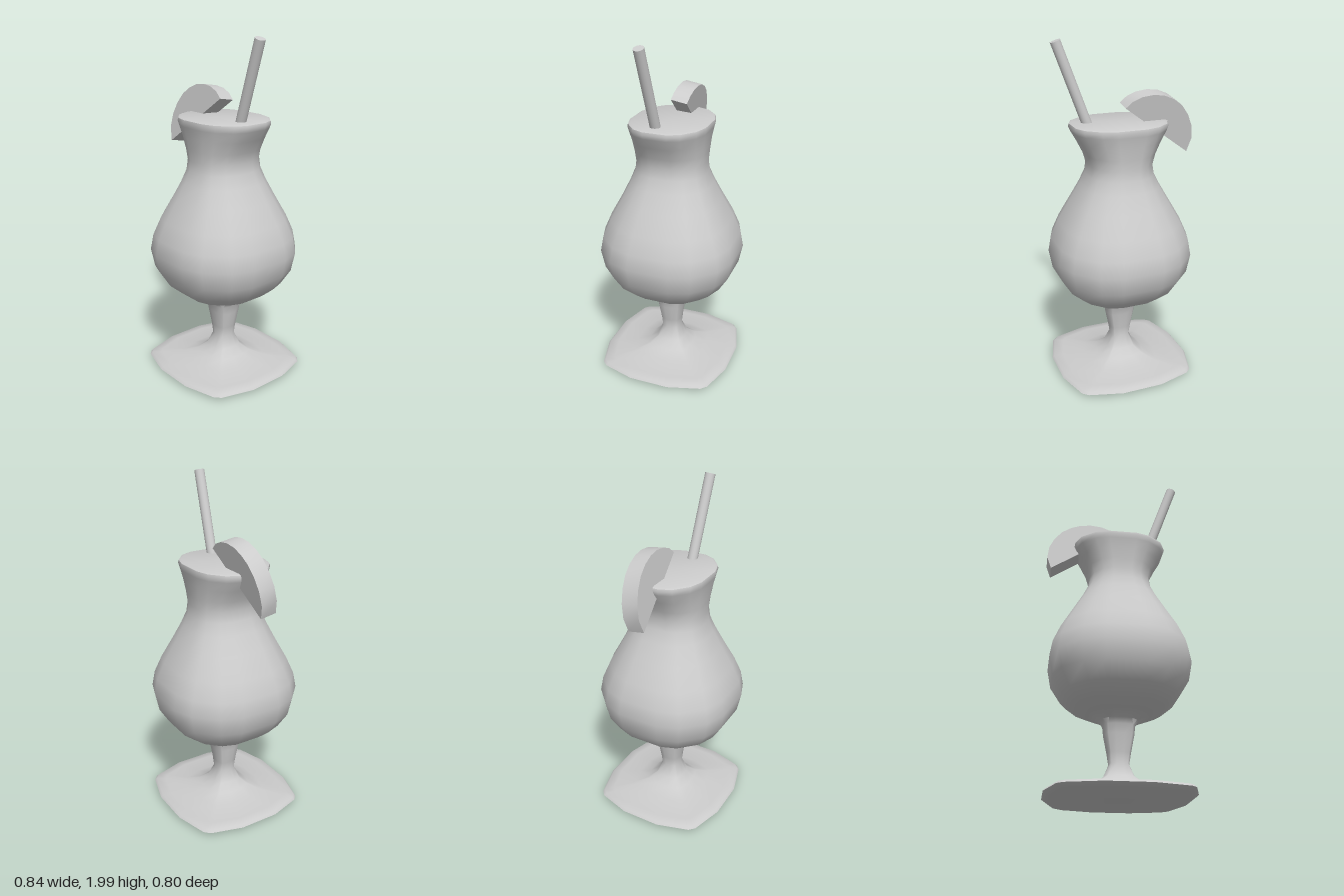
import * as THREE from 'three';
import { toCreasedNormals } from 'three/addons/utils/BufferGeometryUtils.js';

const material = new THREE.MeshStandardMaterial({ color: 0xcccccc });
const CENTRE_X = 0.0125;

// One rounded-square ring of 16 points; near and far place the two corner points
function ring(y, hx, hz, near, far) {
  const quarter = [[1, 0.3], [far, near], [near, far], [0.3, 1]];
  const points = [];
  for (let q = 0; q < 4; q++) {
    for (const [a, b] of quarter) {
      const [x, z] = [[a, b], [-b, a], [-a, -b], [b, -a]][q];
      points.push([CENTRE_X + x * hx, y, z * hz]);
    }
  }
  return points;
}

// Skin between rings from bottom to top, closed at both ends
function loft(rings) {
  const n = rings[0].length;
  const positions = rings.flat(2);
  const index = [];
  for (let j = 0; j < rings.length - 1; j++) {
    for (let i = 0; i < n; i++) {
      const a = j * n + i, c = j * n + (i + 1) % n;
      index.push(a, a + n, c, c, a + n, c + n);
    }
  }
  const last = (rings.length - 1) * n;
  const bottom = rings.length * n;
  positions.push(CENTRE_X, rings[0][0][1], 0, CENTRE_X, rings[rings.length - 1][0][1], 0);
  for (let i = 0; i < n; i++) {
    const k = (i + 1) % n;
    index.push(bottom, i, k, bottom + 1, last + k, last + i);
  }
  const geometry = new THREE.BufferGeometry();
  geometry.setAttribute('position', new THREE.Float32BufferAttribute(positions, 3));
  geometry.setIndex(index);
  return toCreasedNormals(geometry, 0.9);
}

function addMesh(group, name, geometry) {
  const mesh = new THREE.Mesh(geometry, material);
  mesh.name = name;
  group.add(mesh);
  return mesh;
}

export function createModel() {
  const group = new THREE.Group();
  group.name = 'cocktail';

  // Foot and stem: squarish sections [y, half x, half z]
  const foot = [
    [0.01, 0.36, 0.35], [0.017, 0.385, 0.375], [0.03, 0.403, 0.392], [0.043, 0.392, 0.38],
    [0.05, 0.34, 0.33], [0.063, 0.21, 0.21], [0.09, 0.135, 0.135], [0.13, 0.085, 0.085],
    [0.2, 0.055, 0.055], [0.26, 0.064, 0.06], [0.36, 0.083, 0.075], [0.41, 0.088, 0.085],
  ].map(([y, x, z]) => ring(y, x, z, 0.78, 0.86));

  // Bowl: rounder sections, pinched at the neck and flared at the rim
  const bowl = [
    [0.44, 0.105, 0.1], [0.47, 0.17, 0.17], [0.51, 0.255, 0.255], [0.57, 0.325, 0.325],
    [0.66, 0.38, 0.38], [0.77, 0.4, 0.402], [0.86, 0.385, 0.385], [0.96, 0.343, 0.343],
    [1.08, 0.276, 0.28], [1.18, 0.22, 0.232], [1.25, 0.187, 0.205], [1.31, 0.178, 0.198],
    [1.37, 0.195, 0.202], [1.44, 0.23, 0.208], [1.5, 0.264, 0.218], [1.525, 0.274, 0.224],
    [1.54, 0.27, 0.221], [1.546, 0.255, 0.208],
  ].map(([y, x, z]) => ring(y, x, z, 0.6, 0.89));

  addMesh(group, 'glass', loft([...foot, ...bowl]));

  // Straw leaning to the side
  const from = new THREE.Vector3(0.175, 1.5, 0.028);
  const to = new THREE.Vector3(0.35, 1.99, 0.047);
  const direction = to.clone().sub(from);
  const straw = addMesh(group, 'straw',
    new THREE.CylinderGeometry(0.029, 0.029, direction.length(), 16));
  straw.position.copy(from).lerp(to, 0.5);
  straw.quaternion.setFromUnitVectors(new THREE.Vector3(0, 1, 0), direction.normalize());

  // Fruit slice: half disc on the rim, leaning back
  const pivotY = 1.64;
  const outline = [
    [-0.4, 1.34], [0, 1.637], [-0.04, 1.672], [-0.095, 1.695], [-0.16, 1.703], [-0.225, 1.695],
    [-0.285, 1.67], [-0.34, 1.63], [-0.385, 1.57], [-0.415, 1.5], [-0.424, 1.42],
  ].map(([x, y]) => new THREE.Vector2(x, y - pivotY));
  const sliceGeometry = new THREE.ExtrudeGeometry(new THREE.Shape(outline),
    { depth: 0.095, bevelEnabled: false });
  sliceGeometry.translate(0, 0, -0.0475);
  const slice = addMesh(group, 'fruitSlice', toCreasedNormals(sliceGeometry, 0.6));
  slice.rotation.x = -0.165;
  slice.position.set(0, pivotY, -0.032);

  return group;
}
